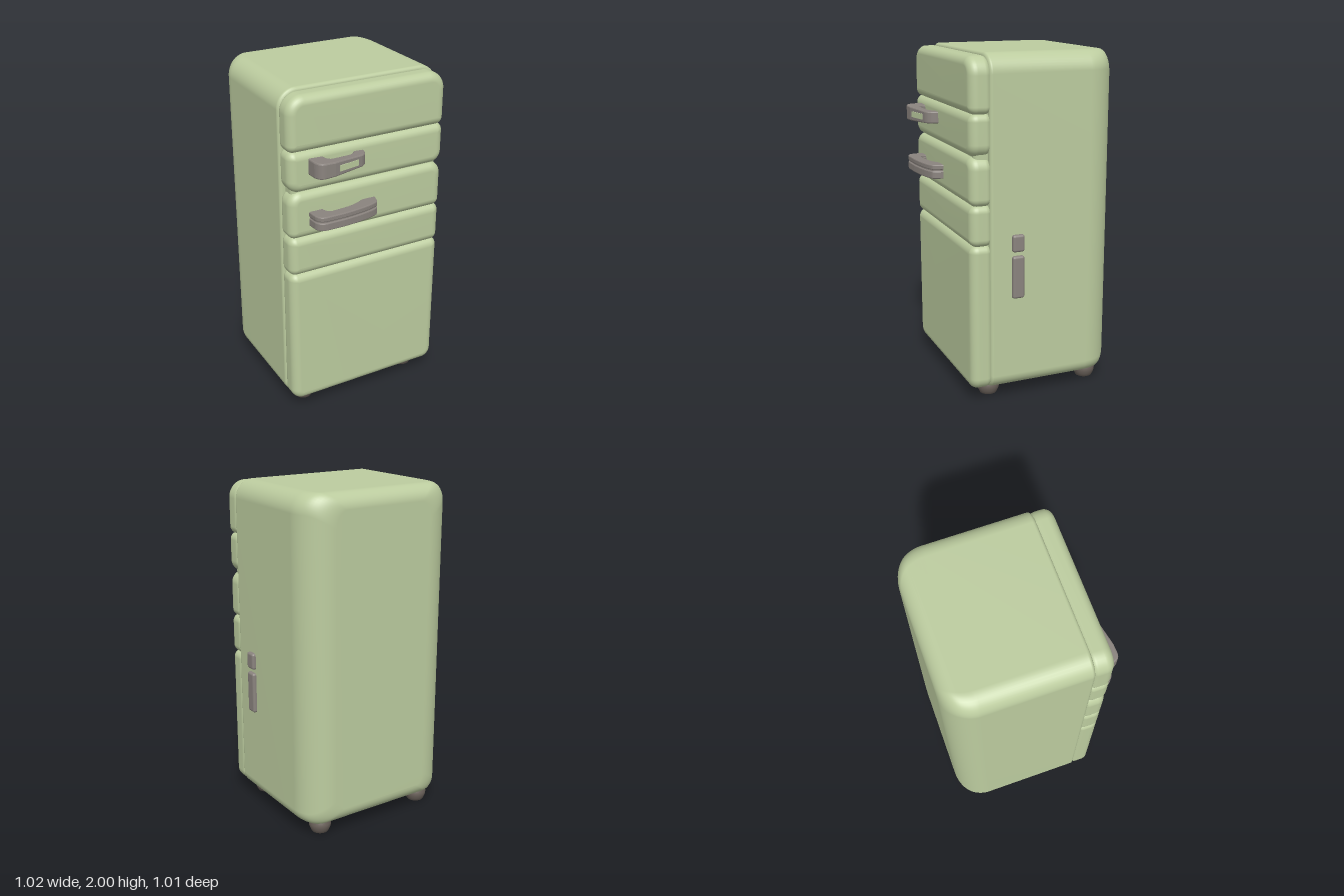
import * as THREE from 'three';
import { RoundedBoxGeometry } from 'three/addons/geometries/RoundedBoxGeometry.js';

const enamel = new THREE.MeshStandardMaterial({ name: 'green enamel', color: 0xbccc9f });
const metal = new THREE.MeshStandardMaterial({ name: 'grey metal', color: 0x8a837e });
const rubber = new THREE.MeshStandardMaterial({ name: 'dark rubber', color: 0x6a615a });

function add(parent, name, geometry, material, x = 0, y = 0, z = 0) {
  const mesh = new THREE.Mesh(geometry, material);
  mesh.name = name;
  mesh.position.set(x, y, z);
  parent.add(mesh);
  return mesh;
}

// Inset of a rounded edge of radius r at distance d from its end face
function edgeInset(d, r) {
  if (d >= r) return 0;
  return r - Math.sqrt(r * r - (r - d) * (r - d));
}

// Counter-clockwise rounded rectangle with separate top and bottom corner radii
function roundedSection(x0, x1, y0, y1, rTop, rBottom) {
  const steps = 10, points = [];
  const corners = [
    [x1 - rBottom, y0 + rBottom, rBottom, -Math.PI / 2],
    [x1 - rTop, y1 - rTop, rTop, 0],
    [x0 + rTop, y1 - rTop, rTop, Math.PI / 2],
    [x0 + rBottom, y0 + rBottom, rBottom, Math.PI],
  ];
  for (const [cx, cy, r, start] of corners) {
    for (let i = 0; i <= steps; i++) {
      const a = start + (i / steps) * Math.PI / 2;
      points.push([cx + r * Math.cos(a), cy + r * Math.sin(a)]);
    }
  }
  return points;
}

// Closed solid from rings ordered back to front; each ring is { z, points }
function loft(rings) {
  const n = rings[0].points.length, positions = [], index = [];
  for (const { z, points } of rings) for (const [x, y] of points) positions.push(x, y, z);
  for (let i = 0; i < rings.length - 1; i++) {
    for (let j = 0; j < n; j++) {
      const k = (j + 1) % n, a = i * n + j, b = i * n + k;
      index.push(a, b, b + n, a, b + n, a + n);
    }
  }
  const last = (rings.length - 1) * n;
  for (let j = 1; j < n - 1; j++) {
    index.push(0, j + 1, j);
    index.push(last, last + j, last + j + 1);
  }
  const geometry = new THREE.BufferGeometry();
  geometry.setAttribute('position', new THREE.Float32BufferAttribute(positions, 3));
  geometry.setIndex(index);
  geometry.computeVertexNormals();
  return geometry;
}

// Cabinet: broad curves at the back, tight edge at the front
function cabinetGeometry() {
  const back = -0.5, front = 0.29, rings = [];
  const ring = (z, ix, iy) => rings.push({
    z, points: roundedSection(-0.508, 0.486, 0.075, 2, 0.11, 0.08)
      .map(([x, y]) => [
        -0.011 + (x + 0.011) * (1 - ix / 0.497),
        1.0375 + (y - 1.0375) * (1 - iy / 0.9625),
      ]),
  });
  for (let i = 0; i <= 16; i++) {
    const d = 0.18 * (1 - Math.cos((i / 16) * Math.PI / 2));
    ring(back + d, edgeInset(d, 0.18), edgeInset(d, 0.09));
  }
  for (let i = 0; i <= 5; i++) {
    const d = 0.02 * (1 - Math.sin((i / 5) * Math.PI / 2));
    const inset = edgeInset(d, 0.02);
    ring(front - d, inset, inset);
  }
  return loft(rings);
}

// Pillowy door panel, rounded on the front and more tightly at the back
function panelGeometry(y0, y1, rTop, rBottom) {
  const back = 0.275, front = 0.402, rBack = 0.035, rFront = 0.05, rings = [];
  const ring = (z, d) => rings.push({
    z, points: roundedSection(-0.504 + d, 0.481 - d, y0 + d, y1 - d,
      Math.max(rTop - d, 0.004), Math.max(rBottom - d, 0.004)),
  });
  for (let i = 0; i <= 6; i++) {
    const a = (i / 6) * Math.PI / 2;
    ring(back + rBack * (1 - Math.cos(a)), rBack * (1 - Math.sin(a)));
  }
  for (let i = 0; i <= 8; i++) {
    const a = (i / 8) * Math.PI / 2;
    ring(front - rFront * (1 - Math.sin(a)), rFront * (1 - Math.cos(a)));
  }
  return loft(rings);
}

// Extrudes a plan outline (x, z) to the given height, centred on y = 0
function planExtrude(shape, height, bevel) {
  const geometry = new THREE.ExtrudeGeometry(shape, {
    depth: height - 2 * bevel, bevelEnabled: true, bevelSize: bevel, bevelOffset: -bevel,
    bevelThickness: bevel, bevelSegments: 2, curveSegments: 10,
  });
  geometry.translate(0, 0, bevel - height / 2);
  return geometry.rotateX(Math.PI / 2);
}

// Long pull: a deep block on the left sweeping back into the door on the right
function longHandleShape() {
  const s = new THREE.Shape();
  s.moveTo(-0.39, 0.39);
  s.lineTo(-0.385, 0.46);
  s.quadraticCurveTo(-0.375, 0.506, -0.32, 0.506);
  s.lineTo(-0.22, 0.506);
  s.quadraticCurveTo(-0.05, 0.495, 0.005, 0.462);
  s.quadraticCurveTo(0.022, 0.44, 0.026, 0.39);
  s.lineTo(-0.05, 0.39);
  s.quadraticCurveTo(-0.11, 0.435, -0.2, 0.44);
  s.lineTo(-0.27, 0.445);
  s.quadraticCurveTo(-0.305, 0.44, -0.305, 0.39);
  s.closePath();
  return s;
}

// Short latch with a straight sloping face
function shortHandleShape() {
  const s = new THREE.Shape();
  s.moveTo(-0.39, 0.39);
  s.lineTo(-0.385, 0.46);
  s.quadraticCurveTo(-0.375, 0.506, -0.335, 0.506);
  s.lineTo(-0.28, 0.505);
  s.lineTo(-0.1, 0.47);
  s.quadraticCurveTo(-0.055, 0.455, -0.052, 0.39);
  s.lineTo(-0.11, 0.39);
  s.quadraticCurveTo(-0.13, 0.43, -0.17, 0.435);
  s.lineTo(-0.27, 0.445);
  s.quadraticCurveTo(-0.3, 0.44, -0.3, 0.39);
  s.closePath();
  return s;
}

export function createModel() {
  const model = new THREE.Group();
  model.name = 'refrigerator';
  add(model, 'cabinet', cabinetGeometry(), enamel);

  // Door panels from top to bottom: bottom y, top y, top radius, bottom radius
  const panels = [
    ['freezerDoorTop', 1.672, 1.985, 0.1, 0.045],
    ['freezerDoorBottom', 1.442, 1.682, 0.045, 0.07],
    ['fridgeDoorTop', 1.166, 1.446, 0.075, 0.045],
    ['fridgeDoorMiddle', 0.936, 1.176, 0.045, 0.045],
    ['fridgeDoorBottom', 0.08, 0.946, 0.045, 0.07],
  ];
  for (const [name, y0, y1, rTop, rBottom] of panels) {
    add(model, name, panelGeometry(y0, y1, rTop, rBottom), enamel);
  }
  add(model, 'doorCore', new RoundedBoxGeometry(0.93, 1.8, 0.1, 3, 0.03), enamel, -0.011, 1.03, 0.32);

  // Ribbed long handle: two outer bands around a recessed core
  const longHandle = new THREE.Group();
  longHandle.name = 'fridgeHandle';
  longHandle.position.y = 1.284;
  model.add(longHandle);
  add(longHandle, 'handleUpperBand', planExtrude(longHandleShape(), 0.03, 0.006), metal, 0, 0.027);
  add(longHandle, 'handleLowerBand', planExtrude(longHandleShape(), 0.046, 0.006), metal, 0, -0.018);
  const core = add(longHandle, 'handleCore', planExtrude(longHandleShape(), 0.06, 0.004), metal);
  core.scale.set(0.98, 1, 0.985);
  core.position.x = -0.003;

  // Short handle narrows towards its right end
  const latch = planExtrude(shortHandleShape(), 0.094, 0.008);
  const p = latch.attributes.position;
  for (let i = 0; i < p.count; i++) {
    const t = THREE.MathUtils.clamp((p.getX(i) + 0.39) / 0.34, 0, 1);
    p.setY(i, p.getY(i) * (1 - 0.3 * t));
  }
  latch.computeVertexNormals();
  add(model, 'freezerHandle', latch, metal, 0, 1.592);
  const inlay = add(model, 'freezerHandleInlay', new THREE.BoxGeometry(0.13, 0.034, 0.006), enamel, -0.19, 1.592, 0.488);
  inlay.rotation.y = Math.atan2(0.035, 0.18);

  // Hinge plates on the left side
  add(model, 'upperSidePlate', new RoundedBoxGeometry(0.05, 0.1, 0.072, 4, 0.014), metal, 0.483, 0.946, 0.126);
  add(model, 'lowerSidePlate', new RoundedBoxGeometry(0.05, 0.25, 0.072, 4, 0.014), metal, 0.483, 0.747, 0.126);

  // Rounded feet
  const footProfile = [[0, 0], [0.036, 0], [0.05, 0.007], [0.058, 0.024], [0.065, 0.042], [0.066, 0.06], [0.06, 0.08], [0.05, 0.1], [0, 0.1]]
    .map(([x, y]) => new THREE.Vector2(x, y));
  const foot = new THREE.LatheGeometry(footProfile, 28);
  for (const x of [-0.375, 0.345]) {
    for (const z of [0.255, -0.38]) add(model, z > 0 ? 'frontFoot' : 'backFoot', foot, rubber, x, 0, z);
  }
  return model;
}
